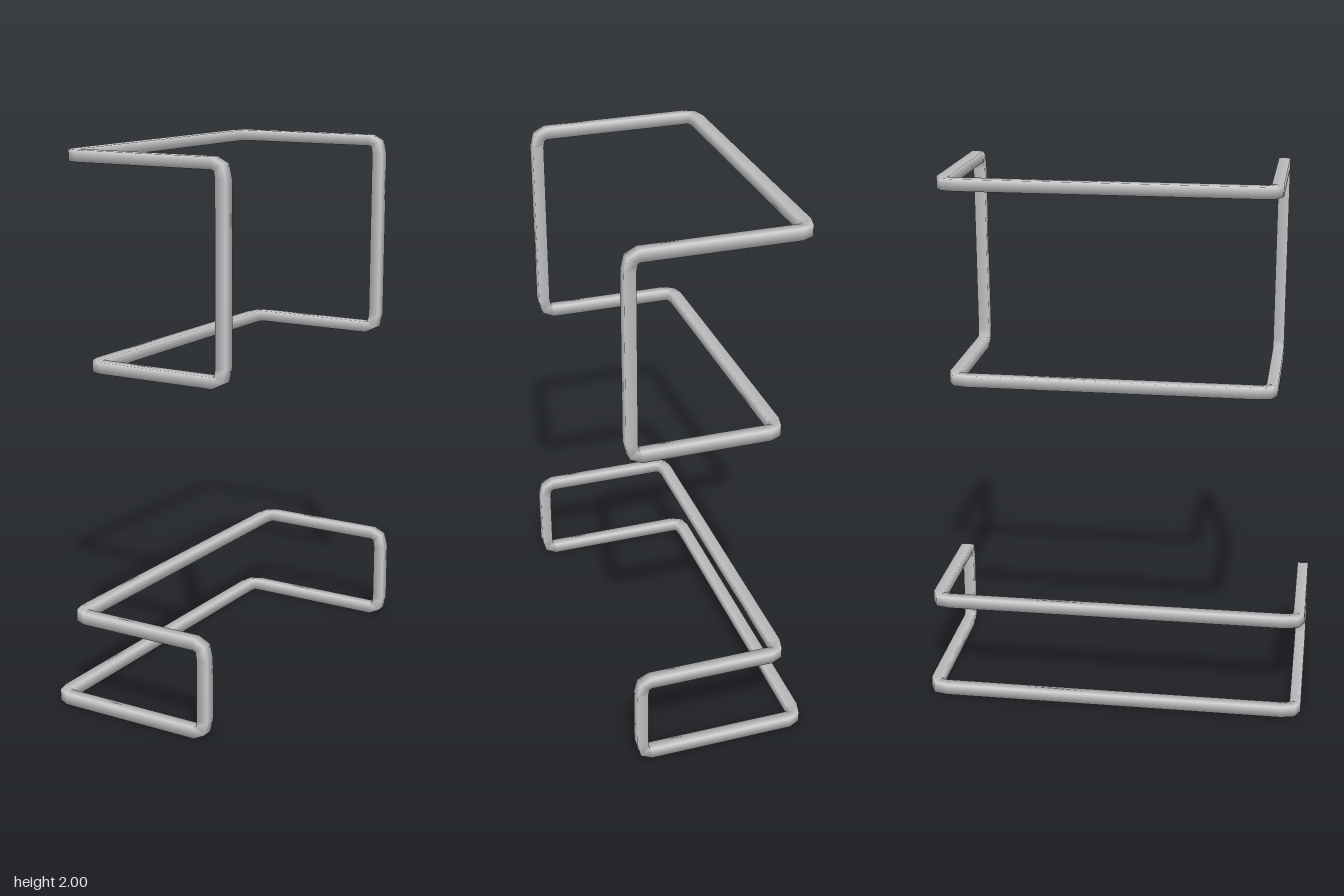
import * as THREE from 'three';
import { mergeGeometries } from 'three/addons/utils/BufferGeometryUtils.js';

const HALF = 0.021; // half the thickness of the four-sided bar

// Open four-sided sleeve laid along a curve, with smooth normals;
// `side` is the direction perpendicular to the curve's plane
function sweep(curve, side, segments) {
  const g = new THREE.CylinderGeometry(
    HALF * Math.SQRT2, HALF * Math.SQRT2, 1, 4, segments, true, Math.PI / 4);
  const pos = g.attributes.position;
  const nor = g.attributes.normal;
  for (let i = 0; i < pos.count; i++) {
    const t = pos.getY(i) + 0.5;
    const across = curve.getTangent(t).cross(side).normalize();
    const p = curve.getPoint(t)
      .addScaledVector(across, pos.getX(i)).addScaledVector(side, pos.getZ(i));
    const n = across.multiplyScalar(nor.getX(i)).addScaledVector(side, nor.getZ(i));
    pos.setXYZ(i, p.x, p.y, p.z);
    nor.setXYZ(i, n.x, n.y, n.z);
  }
  return g;
}

// Closed loop of axis-aligned bars with a short bend at every corner
function bentLoop(corners) {
  const n = corners.length;
  const direction = (p, q) => q.clone().sub(p).normalize();
  // Bends start nearer the corner along x than along the long and upright bars
  const toward = (p, q) => {
    const d = direction(p, q);
    return p.clone().addScaledVector(d, Math.abs(d.x) > 0.5 ? 0.035 : 0.051);
  };
  const parts = [];
  corners.forEach((p, i) => {
    const prev = corners[(i + n - 1) % n];
    const next = corners[(i + 1) % n];
    const along = direction(p, next);
    const bend = new THREE.QuadraticBezierCurve3(toward(p, prev), p, toward(p, next));
    const bar = new THREE.LineCurve3(toward(p, next), toward(next, p));
    parts.push(sweep(bend, direction(prev, p).cross(along), 2));
    parts.push(sweep(bar, new THREE.Vector3(along.y, along.z, along.x), 1));
  });
  return mergeGeometries(parts);
}

// Two long bars joined at each end by a C-shaped side
function frame(name, yTop, xTop, yBottom, xBottom, zBack, zFront, material) {
  const xSide = 0.308;
  const v = (x, y, z) => new THREE.Vector3(x, y, z);
  const mesh = new THREE.Mesh(bentLoop([
    v(xTop, yTop, zBack), v(xTop, yTop, zFront),
    v(xSide, yTop, zFront), v(xSide, yBottom, zFront),
    v(xBottom, yBottom, zFront), v(xBottom, yBottom, zBack),
    v(xSide, yBottom, zBack), v(xSide, yTop, zBack),
  ]), material);
  mesh.name = name;
  return mesh;
}

export function createModel() {
  const group = new THREE.Group();
  group.name = 'bentBarFrames';
  const material = new THREE.MeshStandardMaterial({ color: 0xcccccc, side: THREE.DoubleSide });
  const outer = -0.31, inner = -0.227;
  group.add(frame('upperFrame', 1.979, outer, 1.245, inner, -0.597, 0.566, material));
  group.add(frame('lowerFrame', 0.35, inner, HALF, outer, -0.694, 0.694, material));
  return group;
}
